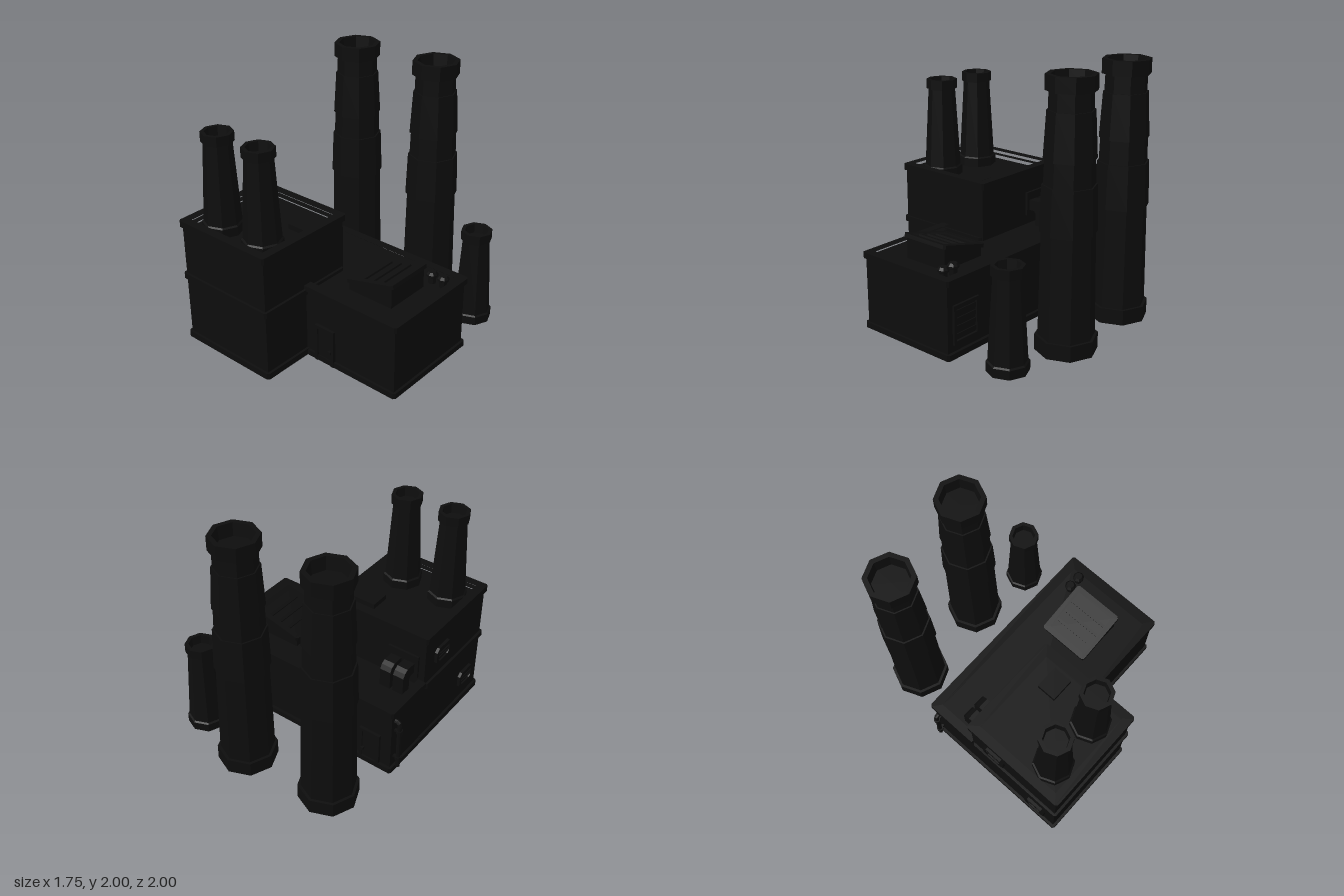
import * as THREE from 'three';

const soot = new THREE.MeshStandardMaterial({ color: 0x0d0d0d, flatShading: true });
soot.name = 'soot black';

function add(parent, name, geometry, x = 0, y = 0, z = 0) {
  const mesh = new THREE.Mesh(geometry, soot);
  mesh.name = name;
  mesh.position.set(x, y, z);
  parent.add(mesh);
  return mesh;
}

// Box given by its extents
function block(parent, name, x0, x1, y0, y1, z0, z1) {
  return add(parent, name, new THREE.BoxGeometry(x1 - x0, y1 - y0, z1 - z0),
    (x0 + x1) / 2, (y0 + y1) / 2, (z0 + z1) / 2);
}

const shapeOf = (pts) => new THREE.Shape(pts.map(([a, b]) => new THREE.Vector2(a, b)));
const extrude = (shape, depth) => new THREE.ExtrudeGeometry(shape, { depth, bevelEnabled: false });

// Plan outline [x, z], optionally with a hole, raised from y0 to y1
function plan(parent, name, outer, hole, y0, y1) {
  const flip = (pts) => pts.map(([x, z]) => [x, -z]);
  const shape = shapeOf(flip(outer));
  if (hole) shape.holes.push(shapeOf(flip(hole)));
  return add(parent, name, extrude(shape, y1 - y0).rotateX(-Math.PI / 2), 0, y0, 0);
}

const rect = (x0, x1, z0, z1) => [[x0, z0], [x1, z0], [x1, z1], [x0, z1]];
// Rectangle with cut corners
const cutRect = (x0, x1, z0, z1, c = 0.015) => [
  [x0 + c, z0], [x1 - c, z0], [x1, z0 + c], [x1, z1 - c],
  [x1 - c, z1], [x0 + c, z1], [x0, z1 - c], [x0, z0 + c]];

// Eight-sided chimney from a profile that ends inside the flue
function chimney(parent, name, profile, x, y, z) {
  const pts = profile.map(([r, h]) => new THREE.Vector2(r, h));
  return add(parent, name, new THREE.LatheGeometry(pts, 8), x, y, z);
}

const tallProfile = [
  [0, 0], [0.23, 0], [0.23, 0.12], [0.208, 0.12], [0.193, 0.9], [0.207, 0.9], [0.195, 1.24],
  [0.183, 1.24], [0.177, 1.42], [0.188, 1.42], [0.168, 1.76], [0.158, 1.76], [0.155, 1.89],
  [0.182, 1.89], [0.182, 2], [0.145, 2], [0.135, 1.9], [0, 1.9]];
const shortProfile = [
  [0, 0], [0.155, 0], [0.155, 0.07], [0.142, 0.08], [0.105, 0.705], [0.121, 0.705],
  [0.121, 0.78], [0.092, 0.78], [0.085, 0.71], [0, 0.71]];

// Door with frame, panel and handle; dir is +1 for front walls, -1 for back walls
function door(parent, name, x, wallZ, dir, w, h, handleX) {
  const g = new THREE.Group();
  g.name = name;
  g.position.set(x, 0, wallZ);
  const t = 0.025;
  for (const s of [-1, 1]) {
    add(g, 'doorPost', new THREE.BoxGeometry(t, h, 0.04), s * (w - t) / 2, h / 2, 0);
  }
  add(g, 'doorLintel', new THREE.BoxGeometry(w, t, 0.04), 0, h - t / 2, 0);
  add(g, 'doorPanel', new THREE.BoxGeometry(w - 2 * t, h - t, 0.016), 0, (h - t) / 2, 0);
  add(g, 'doorHandle', new THREE.BoxGeometry(0.025, 0.025, 0.05), handleX, 0.12, dir * 0.006);
  parent.add(g);
}

// Louvred plate with cut corners on the -x wall
function sideVent(parent, y, z) {
  const g = new THREE.Group();
  g.name = 'sideVent';
  const frame = shapeOf(cutRect(-0.1, 0.1, -0.075, 0.075, 0.03));
  frame.holes.push(shapeOf(cutRect(-0.075, 0.075, -0.05, 0.05, 0.02)));
  add(g, 'ventFrame', extrude(frame, 0.03));
  for (let i = -1; i <= 1; i++) {
    add(g, 'ventSlat', new THREE.BoxGeometry(0.15, 0.014, 0.02), 0, i * 0.03, 0.012);
  }
  g.rotation.y = -Math.PI / 2;
  g.position.set(-0.803, y, z);
  parent.add(g);
}

export function createModel() {
  const model = new THREE.Group();
  model.name = 'factory';

  // Tall hall with bands and a raised roof edge
  const hall = new THREE.Group();
  hall.name = 'tallHall';
  model.add(hall);
  block(hall, 'hallWalls', -0.81, 0.02, 0, 0.935, 0.15, 0.98);
  const hallHole = rect(-0.76, -0.03, 0.2, 0.93);
  plan(hall, 'hallParapet', rect(-0.81, 0.02, 0.15, 0.98), hallHole, 0.93, 0.98);
  plan(hall, 'hallCornice', cutRect(-0.83, 0.04, 0.13, 1), hallHole, 0.97, 1.02);
  plan(hall, 'hallMiddleBand', cutRect(-0.83, 0.04, 0.16, 1), null, 0.53, 0.575);
  plan(hall, 'hallBaseBand', cutRect(-0.83, 0.04, 0.13, 1), null, 0, 0.05);
  block(hall, 'roofHatch', -0.24, -0.05, 0.93, 0.975, 0.3, 0.46);
  for (const x of [-0.6, -0.19]) chimney(hall, 'roofChimney', shortProfile, x, 0.935, 0.77);

  // Low wing wrapped around the back and side of the hall
  const wing = new THREE.Group();
  wing.name = 'lowWing';
  model.add(wing);
  block(wing, 'wingWalls', -0.81, 0.85, 0, 0.55, -0.265, 0.56);
  const wingHole = [[-0.76, -0.22], [0.8, -0.22], [0.8, 0.51], [0.01, 0.51], [0.01, 0.16], [-0.76, 0.16]];
  const wingEdge = (x0, x1, z0, z1) => [
    [x0 + 0.015, z0], [x1 - 0.015, z0], [x1, z0 + 0.015], [x1, z1 - 0.015], [x1 - 0.015, z1],
    [-0.03, z1], [-0.03, 0.18], [x0 + 0.03, 0.18], [x0 + 0.03, 0.15], [x0, 0.15], [x0, z0 + 0.015]];
  plan(wing, 'wingParapet', wingEdge(-0.81, 0.85, -0.265, 0.56), wingHole, 0.54, 0.57);
  plan(wing, 'wingCornice', wingEdge(-0.83, 0.87, -0.29, 0.58), wingHole, 0.56, 0.605);
  plan(wing, 'wingBaseBand', cutRect(-0.83, 0.87, -0.29, 0.58), null, 0, 0.045);

  // Doors, rear hatch and rear shutter
  door(wing, 'frontDoor', 0.21, 0.565, 1, 0.18, 0.31, 0.055);
  door(wing, 'backDoor', -0.63, -0.268, -1, 0.18, 0.32, 0.06);
  plan(wing, 'rearCabinet', [[-0.4, -0.25], [-0.2, -0.25], [-0.2, -0.325], [-0.22, -0.345],
    [-0.38, -0.345], [-0.4, -0.325]], null, 0, 0.19);
  const shutter = shapeOf(rect(0.54, 0.8, 0.1, 0.4));
  shutter.holes.push(shapeOf(rect(0.565, 0.775, 0.125, 0.375)));
  add(wing, 'rearShutterFrame', extrude(shutter, 0.03), 0, 0, -0.283);
  for (let i = 0; i < 4; i++) {
    block(wing, 'rearShutterSlat', 0.565, 0.775, 0.14 + i * 0.06, 0.175 + i * 0.06, -0.273, -0.26);
  }

  // Sloped skylight on the wing roof
  const skylight = new THREE.Group();
  skylight.name = 'skylight';
  wing.add(skylight);
  add(skylight, 'skylightBase',
    extrude(shapeOf([[0.25, 0.54], [0.64, 0.54], [0.64, 0.728], [0.25, 0.63]]), 0.38), 0, 0, -0.04);
  const lid = new THREE.Group();
  lid.name = 'skylightLid';
  lid.position.set(0.445, 0.68, 0.15);
  lid.rotation.z = Math.atan(0.25);
  skylight.add(lid);
  plan(lid, 'skylightFrame', cutRect(-0.22, 0.22, -0.21, 0.21), rect(-0.175, 0.175, -0.165, 0.165), -0.012, 0.018);
  for (let i = -1; i <= 1; i++) {
    add(lid, 'skylightBar', new THREE.BoxGeometry(0.022, 0.022, 0.33), i * 0.09, 0.002, 0);
  }

  // Round roof vents
  for (const x of [0.65, 0.75]) {
    const pts = [[0, 0], [0.03, 0], [0.03, 0.06], [0.045, 0.07], [0.045, 0.085], [0.03, 0.105], [0, 0.105]];
    chimney(wing, 'roofVent', pts, x, 0.54, -0.135);
  }

  // Paired bent ducts from the hall wall into the wing roof
  const elbow = shapeOf([[-0.16, 0.755], [-0.04, 0.755], [-0.005, 0.735], [0.015, 0.7],
    [0.015, 0.54], [-0.07, 0.54], [-0.07, 0.65], [-0.085, 0.67], [-0.16, 0.67]]);
  for (const x of [-0.73, -0.615]) {
    add(wing, 'duct', extrude(elbow, 0.09).rotateY(Math.PI / 2), x, 0, 0);
  }
  block(wing, 'ductWallPlate', -0.76, -0.495, 0.63, 0.82, 0.13, 0.16);

  // Vents and drain pipe on the -x wall
  sideVent(hall, 0.755, 0.38);
  sideVent(hall, 0.235, 0.79);
  const path = new THREE.CurvePath();
  const corners = [[-0.79, 0.487], [-0.838, 0.487], [-0.85, 0.475], [-0.85, 0.055]]
    .map(([x, y]) => new THREE.Vector3(x, y, -0.22));
  for (let i = 0; i < 3; i++) path.add(new THREE.LineCurve3(corners[i], corners[i + 1]));
  add(wing, 'drainPipe', new THREE.TubeGeometry(path, 24, 0.018, 8));
  add(wing, 'drainPipeEnd', new THREE.CylinderGeometry(0.018, 0.018, 0.01, 8), -0.85, 0.056, -0.22);
  for (const y of [0.135, 0.4]) {
    add(wing, 'pipeClamp', new THREE.CylinderGeometry(0.026, 0.026, 0.03, 8), -0.85, y, -0.22);
    block(wing, 'pipeBracket', -0.85, -0.8, y - 0.01, y + 0.01, -0.23, -0.21);
  }

  // Free-standing chimneys behind the building
  chimney(model, 'tallChimney', tallProfile, -0.575, 0, -0.715);
  chimney(model, 'tallChimney', tallProfile, 0.155, 0, -0.77);
  chimney(model, 'shortChimney', shortProfile, 0.675, 0, -0.665);

  return model;
}
